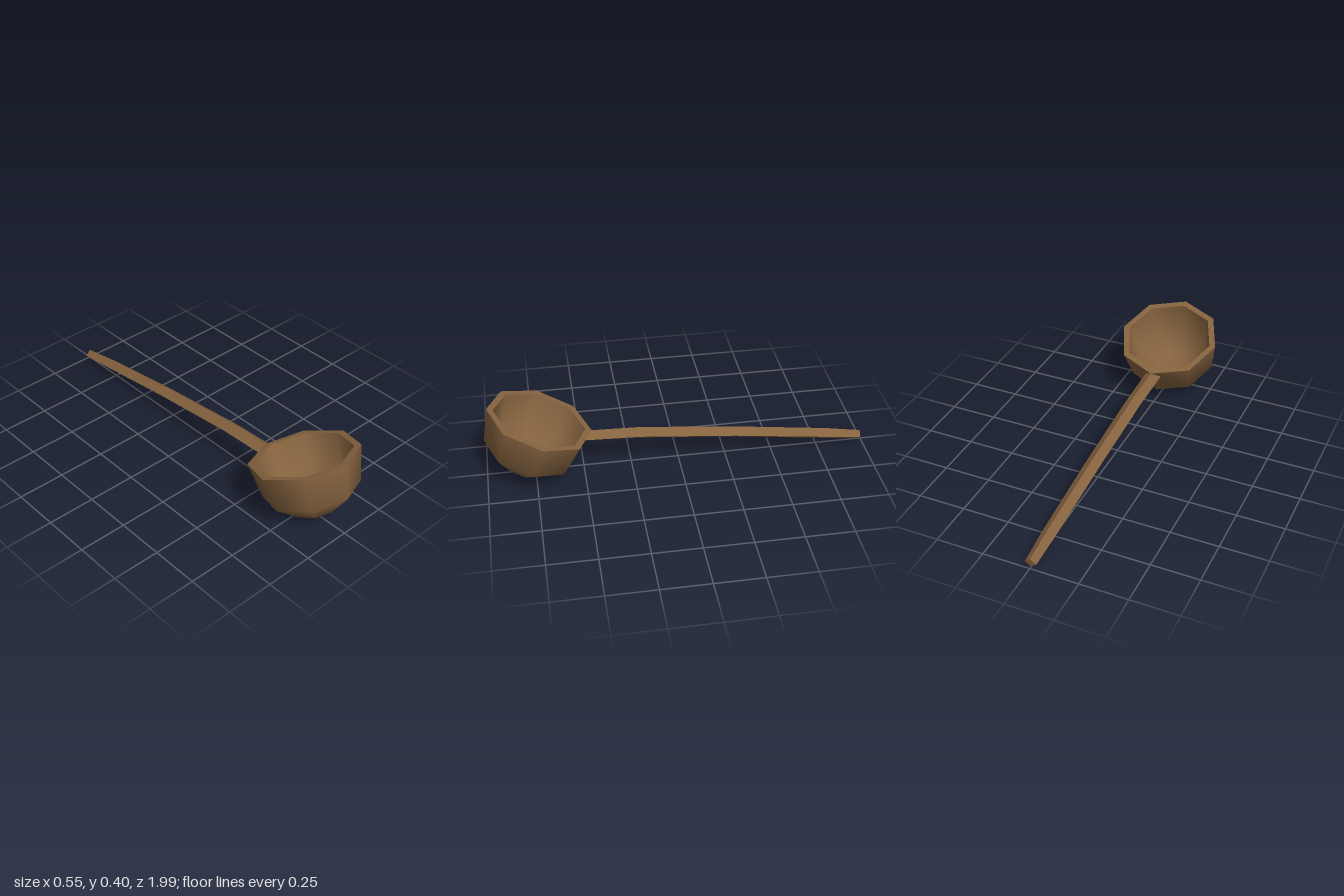
import * as THREE from 'three';

const wood = new THREE.MeshStandardMaterial({ color: 0x86633f });
wood.name = 'wood';

// Eight-sided smooth turned surface from [radius, height] points
function turned(name, points) {
  const geometry = new THREE.LatheGeometry(points.map(([r, y]) => new THREE.Vector2(r, y)), 8);
  const mesh = new THREE.Mesh(geometry, wood);
  mesh.name = name;
  return mesh;
}

// Diamond-section bar through stations of [z, y, halfWidth, halfHeight]
function diamondBar(stations) {
  const rings = stations.map(([z, y, w, h], i) => {
    const a = stations[Math.max(i - 1, 0)];
    const b = stations[Math.min(i + 1, stations.length - 1)];
    const dz = b[0] - a[0], dy = b[1] - a[1], len = Math.hypot(dz, dy);
    // Upward normal of the path in the side plane
    const ny = -dz / len * h, nz = dy / len * h;
    return [[w, y, z], [0, y + ny, z + nz], [-w, y, z], [0, y - ny, z - nz]];
  });
  const positions = [];
  const quad = (a, b, c, d) => positions.push(...a, ...b, ...c, ...a, ...c, ...d);
  for (let i = 0; i < rings.length - 1; i++) {
    for (let k = 0; k < 4; k++) {
      const n = (k + 1) % 4;
      quad(rings[i][k], rings[i + 1][k], rings[i + 1][n], rings[i][n]);
    }
  }
  // End caps
  quad(...rings[0]);
  quad(...[...rings[rings.length - 1]].reverse());
  const geometry = new THREE.BufferGeometry();
  geometry.setAttribute('position', new THREE.Float32BufferAttribute(positions, 3));
  geometry.computeVertexNormals();
  return geometry;
}

export function createModel() {
  const ladle = new THREE.Group();
  ladle.name = 'ladle';

  // Bowl, tilted so its front lip is raised
  const bowl = new THREE.Group();
  bowl.name = 'bowl';
  bowl.add(
    turned('bowlOutside', [[0, -0.29], [0.11, -0.29], [0.24, -0.186], [0.276, 0]]),
    turned('bowlRim', [[0.276, 0], [0.242, 0]]),
    turned('bowlInside', [[0.242, 0], [0.21, -0.17], [0.095, -0.256], [0, -0.256]]),
  );
  bowl.position.set(0, 0.313, 0.71);
  bowl.rotation.x = -0.344;
  ladle.add(bowl);

  // Gently curved handle, set into the back of the bowl
  const handle = new THREE.Mesh(diamondBar([
    [0.485, 0.19, 0.044, 0.03],
    [0.2, 0.178, 0.042, 0.033],
    [-0.3, 0.126, 0.04, 0.032],
    [-0.8, 0.059, 0.037, 0.032],
    [-0.99, 0.03, 0.03, 0.026],
  ]), wood);
  handle.name = 'handle';
  ladle.add(handle);

  return ladle;
}
